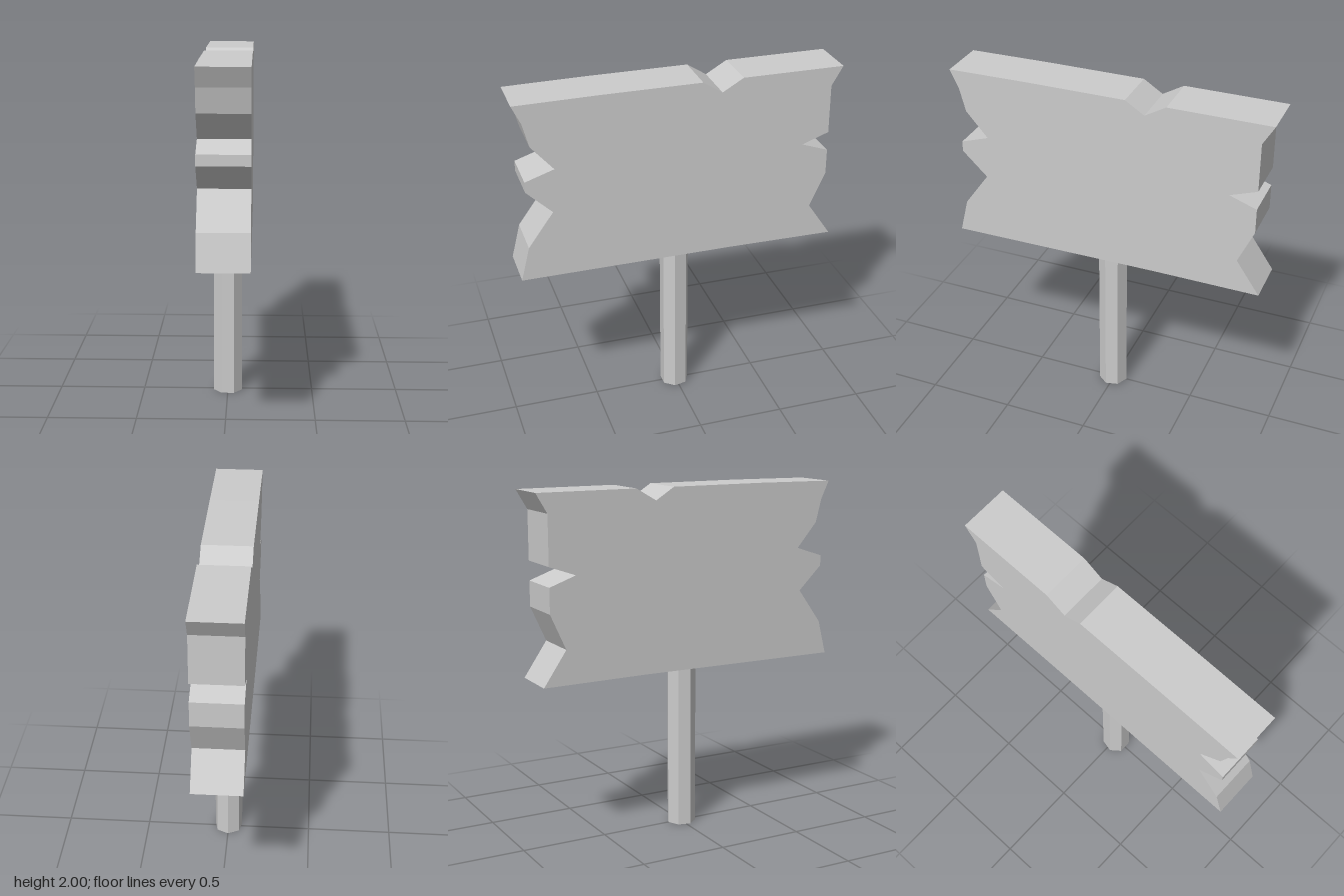
import * as THREE from 'three';

export function createModel() {
  const group = new THREE.Group();
  const material = new THREE.MeshStandardMaterial({ color: 0xcccccc, flatShading: true });

  // Splintered board outline as [z, y], extruded across x
  const outline = [
    [0.925, 1.995], [0.875, 1.89], [0.84, 1.755], [0.715, 1.61], [0.88, 1.555],
    [0.88, 1.495], [0.735, 1.355], [0.88, 1.155], [0.93, 0.957],
    [-0.29, 0.962], [-0.54, 0.96], [-0.91, 0.957], [-0.775, 1.155], [-0.865, 1.355],
    [-0.865, 1.5], [-0.71, 1.555], [-0.865, 1.61], [-0.865, 1.89], [-0.93, 2],
    [-0.345, 2], [-0.225, 1.93], [-0.115, 2], [0.46, 2],
  ];
  const shape = new THREE.Shape(outline.map(([z, y]) => new THREE.Vector2(-z, y)));
  const thickness = 0.28;
  const boardGeometry = new THREE.ExtrudeGeometry(shape, { depth: thickness, bevelEnabled: false });
  boardGeometry.translate(0, 0, -thickness / 2).rotateY(Math.PI / 2);
  const board = new THREE.Mesh(boardGeometry, material);
  board.name = 'board';
  group.add(board);

  // Seven-sided post with one flat side facing the front
  const postHeight = 0.97;
  const post = new THREE.Mesh(new THREE.CylinderGeometry(0.085, 0.085, postHeight, 7), material);
  post.rotation.y = Math.PI;
  post.position.set(0, postHeight / 2, 0.006);
  post.name = 'post';
  group.add(post);

  return group;
}
